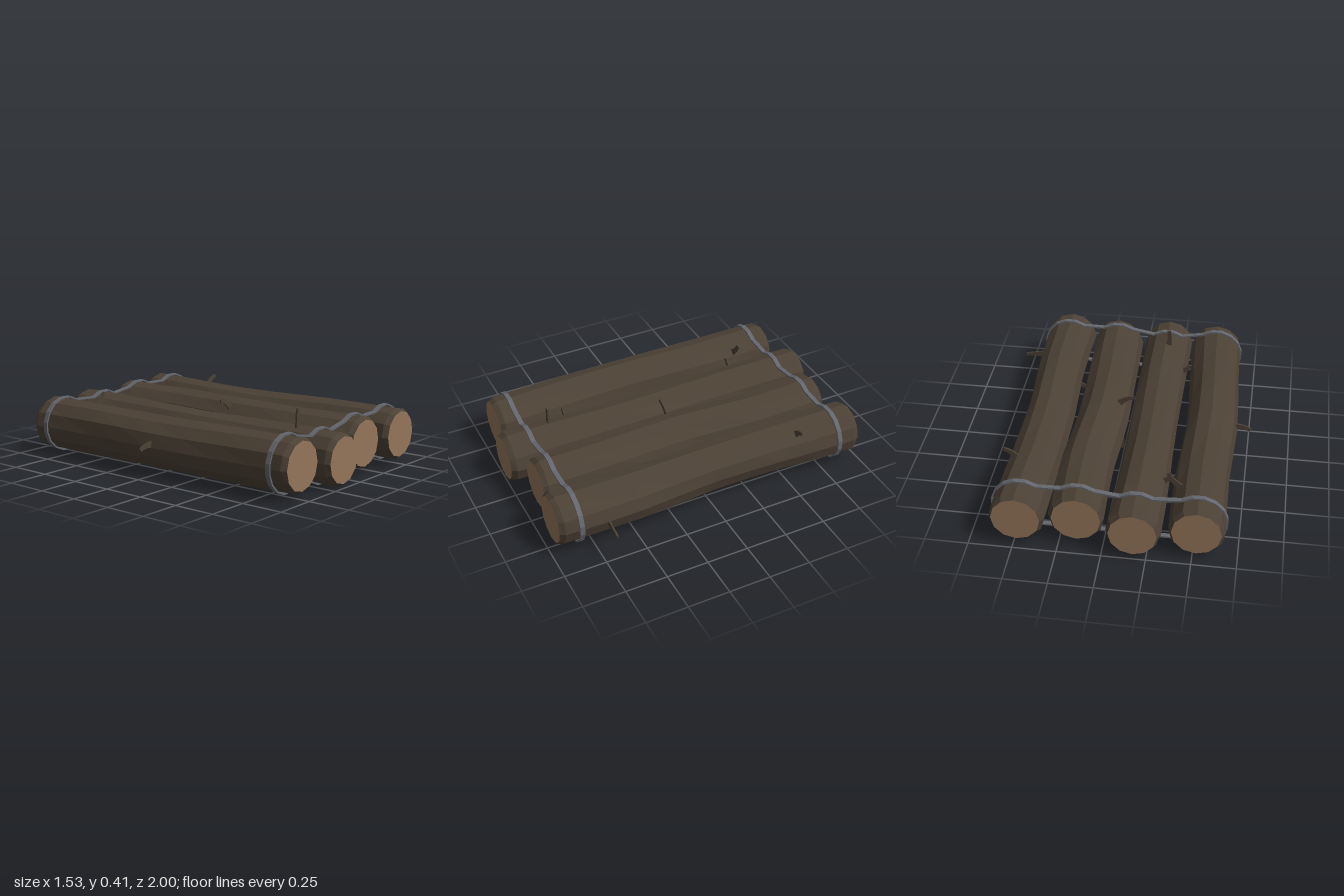
import * as THREE from 'three';

const SIDES = 12;
const ROWS = 10;
const mat = (color) => new THREE.MeshStandardMaterial({ color, flatShading: true, roughness: 0.9, side: THREE.DoubleSide });
const bark = mat(0x4c4135);
const cutWood = mat(0x94765a);
const strapMetal = mat(0x64676d);

// Each log: end positions, radius, thinning at mid-length, end heights and sideways bends
const LOGS = [
  { name: 'outerRightLog', front: 0.945, back: -0.945, r: 0.158, waist: 0.004, y: [0.188, 0.182], bends: [-0.487, -0.508, -0.525, -0.513, -0.52] },
  { name: 'innerRightLog', front: 1, back: -1, r: 0.153, waist: 0.009, y: [0.168, 0.178], bends: [-0.17, -0.168, -0.175, -0.178, -0.175] },
  { name: 'innerLeftLog', front: 0.925, back: -0.93, r: 0.157, waist: 0, y: [0.19, 0.192], bends: [0.162, 0.148, 0.138, 0.162, 0.148] },
  { name: 'outerLeftLog', front: 0.965, back: -0.97, r: 0.156, waist: 0.01, y: [0.193, 0.19], bends: [0.483, 0.487, 0.463, 0.465, 0.48] },
];
for (const log of LOGS) {
  log.curve = new THREE.SplineCurve(log.bends.map((x, i) => new THREE.Vector2(x, THREE.MathUtils.lerp(...log.y, i / 4))));
}

// Centre and radius of a log at a fraction t from front to back
function section(log, t) {
  return { centre: log.curve.getPoint(t), r: log.r - log.waist * Math.sin(Math.PI * t) ** 2 };
}
const fractionAt = (log, z) => (log.front - z) / (log.front - log.back);
const polar = (centre, angle, r) => new THREE.Vector2(centre.x + Math.cos(angle) * r, centre.y + Math.sin(angle) * r);

function addMesh(parent, name, geometry, material) {
  const mesh = new THREE.Mesh(geometry, material);
  mesh.name = name;
  parent.add(mesh);
  return mesh;
}

// Crooked log with uneven bark and bevelled sawn ends
function makeLog(log, seed) {
  const group = new THREE.Group();
  group.name = log.name;
  const geo = new THREE.CylinderGeometry(1, 1, 1, SIDES, ROWS, true).rotateX(Math.PI / 2);
  const pos = geo.attributes.position;
  for (let i = 0; i < pos.count; i++) {
    const row = Math.floor(i / (SIDES + 1));
    const isEnd = row === 0 || row === ROWS;
    const t = isEnd ? row / ROWS : THREE.MathUtils.clamp((row - 1) / (ROWS - 2), 0.016, 0.984);
    const { centre, r } = section(log, t);
    const angle = (i % (SIDES + 1)) * Math.PI * 2 / SIDES;
    const radius = isEnd ? r - 0.018 : r + 0.003 * Math.sin(3 * angle + seed + row * 1.3);
    pos.setXYZ(i, centre.x + pos.getX(i) * radius, centre.y + pos.getY(i) * radius, THREE.MathUtils.lerp(log.front, log.back, t));
  }
  geo.computeVertexNormals();
  addMesh(group, 'bark', geo, bark);
  for (const t of [0, 1]) {
    const { centre, r } = section(log, t);
    const cap = addMesh(group, t ? 'backCut' : 'frontCut', new THREE.CircleGeometry(r - 0.018, SIDES), cutWood);
    cap.position.set(centre.x, centre.y, t ? log.back : log.front);
    cap.rotation.y = t * Math.PI;
  }
  return group;
}

// Flat twig growing out of a log, flared at its base and curling sideways to its tip
function makeTwig(log, z, degrees, length, curl) {
  const { centre, r } = section(log, fractionAt(log, z));
  const angle = THREE.MathUtils.degToRad(degrees);
  const side = new THREE.Vector2(-Math.sin(angle), Math.cos(angle));
  const curve = new THREE.QuadraticBezierCurve(
    polar(centre, angle, r - 0.02),
    polar(centre, angle, r + length * 0.6),
    polar(centre, angle, r + length).addScaledVector(side, curl),
  );
  const left = [], right = [];
  for (let t = 0; t <= 1; t += 0.25) {
    const p = curve.getPoint(t), d = curve.getTangent(t);
    const half = 0.011 + 0.01 * (1 - t) ** 2;
    left.push(new THREE.Vector2(p.x - d.y * half, p.y + d.x * half));
    right.unshift(new THREE.Vector2(p.x + d.y * half, p.y - d.x * half));
  }
  const shape = new THREE.Shape([...left, ...right]);
  return new THREE.ExtrudeGeometry(shape, { depth: 0.01, bevelEnabled: false }).translate(0, 0, z - 0.005);
}

// Strap hugging all logs: over the tops, then back along the undersides, flat between logs
function makeStrap(z) {
  const outer = [];
  for (const under of [false, true]) {
    const row = under ? [...LOGS].reverse() : LOGS;
    row.forEach((log, i) => {
      const { centre, r } = section(log, fractionAt(log, z));
      const start = i === 0 ? 170 : 125;
      const end = i === row.length - 1 ? 10 : 55;
      const steps = Math.round((start - end) / 25);
      for (let s = 0; s <= steps; s++) {
        const degrees = THREE.MathUtils.lerp(start, end, s / steps) + (under ? 180 : 0);
        outer.push(polar(centre, THREE.MathUtils.degToRad(degrees), r + 0.012));
      }
    });
  }
  const inner = outer.map((p, i) => {
    const d = outer[(i + 1) % outer.length].clone().sub(outer.at(i - 1)).normalize();
    return new THREE.Vector2(p.x + d.y * 0.01, p.y - d.x * 0.01);
  });
  const shape = new THREE.Shape(outer);
  shape.holes.push(new THREE.Path(inner));
  return new THREE.ExtrudeGeometry(shape, { depth: 0.028, bevelEnabled: false }).translate(0, 0, z - 0.014);
}

export function createModel() {
  const model = new THREE.Group();
  model.name = 'logRaft';
  LOGS.forEach((log, i) => model.add(makeLog(log, i * 2.1)));

  addMesh(model, 'frontStrap', makeStrap(0.84), strapMetal);
  addMesh(model, 'backStrap', makeStrap(-0.83), strapMetal);

  // Broken twigs: log, z, angle around the log, length, curl
  const [outerRight, innerRight, innerLeft, outerLeft] = LOGS;
  const twigs = [
    [outerRight, 0.03, 173, 0.08, 0.03],
    [outerRight, -0.67, 40, 0.1, 0.025],
    [innerRight, 0.7, 98, 0.1, -0.015],
    [innerRight, -0.59, 152, 0.05, -0.02],
    [innerRight, 0.55, 158, 0.05, -0.025],
    [innerLeft, 0.03, 130, 0.09, 0.04],
    [innerLeft, -0.03, 222, 0.05, 0.05],
    [outerLeft, -0.565, 54, 0.07, -0.03],
    [outerLeft, 0.68, -3, 0.115, -0.01],
    [outerLeft, 0.53, 228, 0.09, -0.06],
  ];
  for (const twig of twigs) addMesh(model, 'twig', makeTwig(...twig), bark);

  return model;
}
